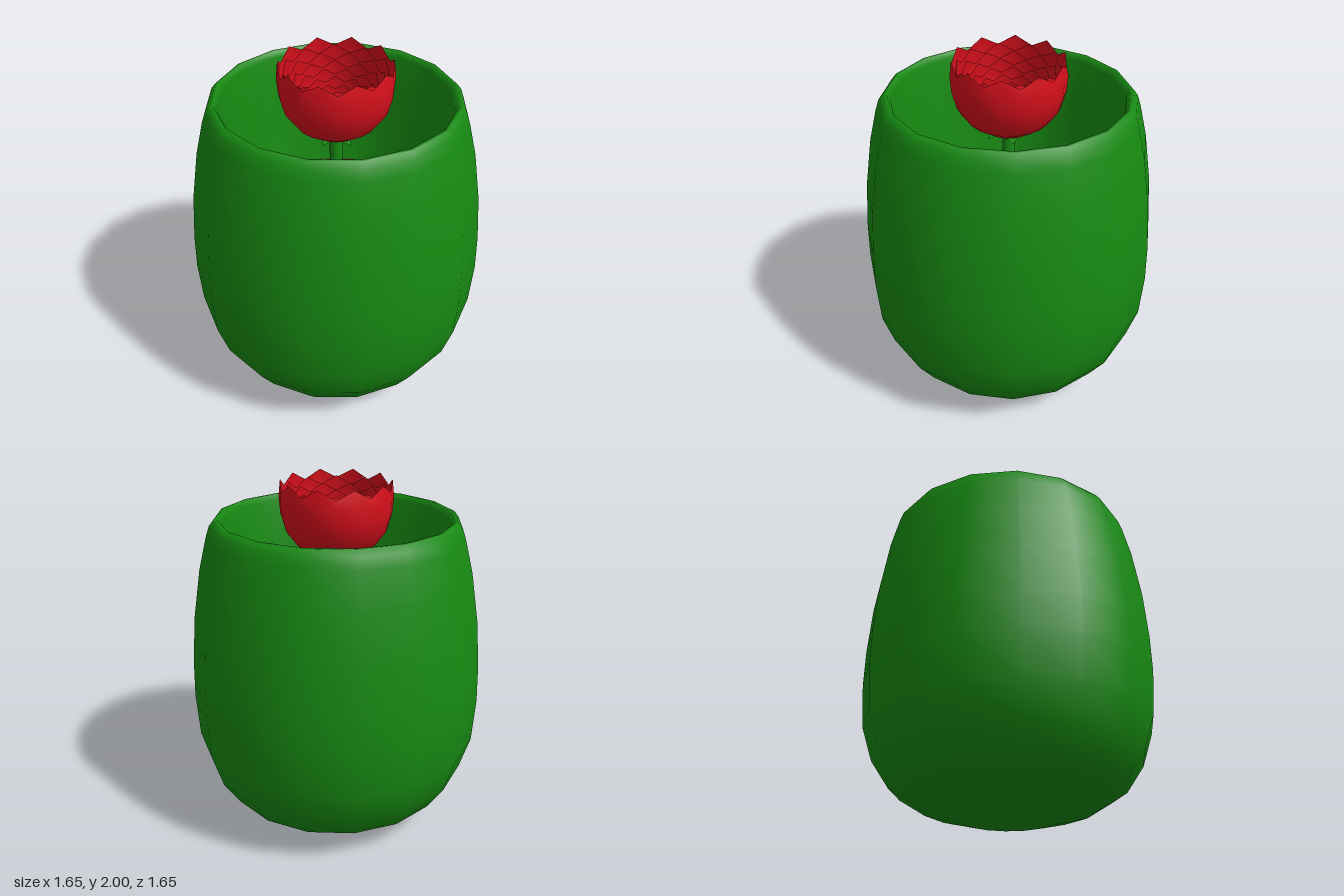
import * as THREE from 'three';

const mat = (color, side = THREE.FrontSide) => new THREE.MeshStandardMaterial({ color, side });
const green = mat(0x178a12, THREE.DoubleSide);
const red = mat(0xd8101c, THREE.DoubleSide);
const brown = mat(0x703812);

const lathe = (pts, sides) =>
  new THREE.LatheGeometry(pts.map(([r, y]) => new THREE.Vector2(r, y)), sides);

function add(parent, name, geometry, material) {
  const mesh = new THREE.Mesh(geometry, material);
  mesh.name = name;
  parent.add(mesh);
  return mesh;
}

// One cup of ten joined petals: a round bowl whose rim zigzags
function petalCup() {
  const profile = [[0, 0], [0.12, 0.025], [0.22, 0.09], [0.28, 0.17], [0.305, 0.26], [0.312, 0.35], [0.302, 0.44]];
  const sides = 20;
  const geo = lathe(profile, sides);
  const pos = geo.attributes.position;
  for (let i = 0; i <= sides; i += 2) {
    pos.setY(i * profile.length + profile.length - 1, 0.39);
  }
  geo.computeVertexNormals();
  return geo;
}

// Curved pointed leaf below the bloom, growing out along +z
function sepalGeometry() {
  const rows = [[0.03, 0, 0.02], [0.05, 0.025, 0.03], [0.09, 0.035, 0.028], [0.13, 0.02, 0]];
  const verts = [], index = [];
  rows.forEach(([z, y, w], i) => {
    verts.push(-w, y, z, w, y, z);
    if (i) {
      const a = 2 * i - 2;
      index.push(a, a + 1, a + 3, a, a + 3, a + 2);
    }
  });
  const geo = new THREE.BufferGeometry();
  geo.setAttribute('position', new THREE.Float32BufferAttribute(verts, 3));
  geo.setIndex(index);
  geo.computeVertexNormals();
  return geo;
}

export function createModel() {
  const model = new THREE.Group();
  model.name = 'pottedFlower';

  // Pot: rounded outside, soft rim, steep inner wall
  add(model, 'pot', lathe([
    [0, 0.005], [0.27, 0.02], [0.49, 0.08], [0.65, 0.18], [0.75, 0.33], [0.81, 0.52],
    [0.827, 0.77], [0.822, 0.98], [0.8, 1.25], [0.755, 1.53], [0.71, 1.71], [0.69, 1.77],
    [0.665, 1.802], [0.645, 1.802], [0.63, 1.77], [0.61, 1.6], [0.585, 1.35], [0.56, 1.08], [0.54, 1.0],
  ], 16), green);

  // Soil: low dome inside the pot
  add(model, 'soil', lathe([
    [0.57, 1.04], [0.5, 1.1], [0.38, 1.17], [0.22, 1.22], [0, 1.24],
  ], 16), brown);

  // Stem and sepals
  const stem = add(model, 'stem', new THREE.CylinderGeometry(0.035, 0.035, 0.42, 12), green);
  stem.position.y = 1.38;
  const sepal = sepalGeometry();
  for (let i = 0; i < 5; i++) {
    const leaf = add(model, 'sepal', sepal, green);
    leaf.position.y = 1.535;
    leaf.rotation.y = (i / 5) * Math.PI * 2;
  }

  // Bloom: nested petal cups shrinking towards the base, around a small heart
  const bloom = new THREE.Group();
  bloom.name = 'bloom';
  bloom.position.y = 1.56;
  model.add(bloom);
  const cup = petalCup();
  const layers = 11;
  for (let i = 0; i < layers; i++) {
    const petals = add(bloom, 'petalLayer', cup, red);
    const s = 1 - i * 0.086;
    petals.scale.setScalar(s);
    petals.position.y = i * 0.003;
    petals.rotation.y = (i % 2) * Math.PI / 10;
  }
  const heart = add(bloom, 'heart', new THREE.SphereGeometry(0.028, 12, 8), red);
  heart.position.y = 0.08;

  return model;
}
